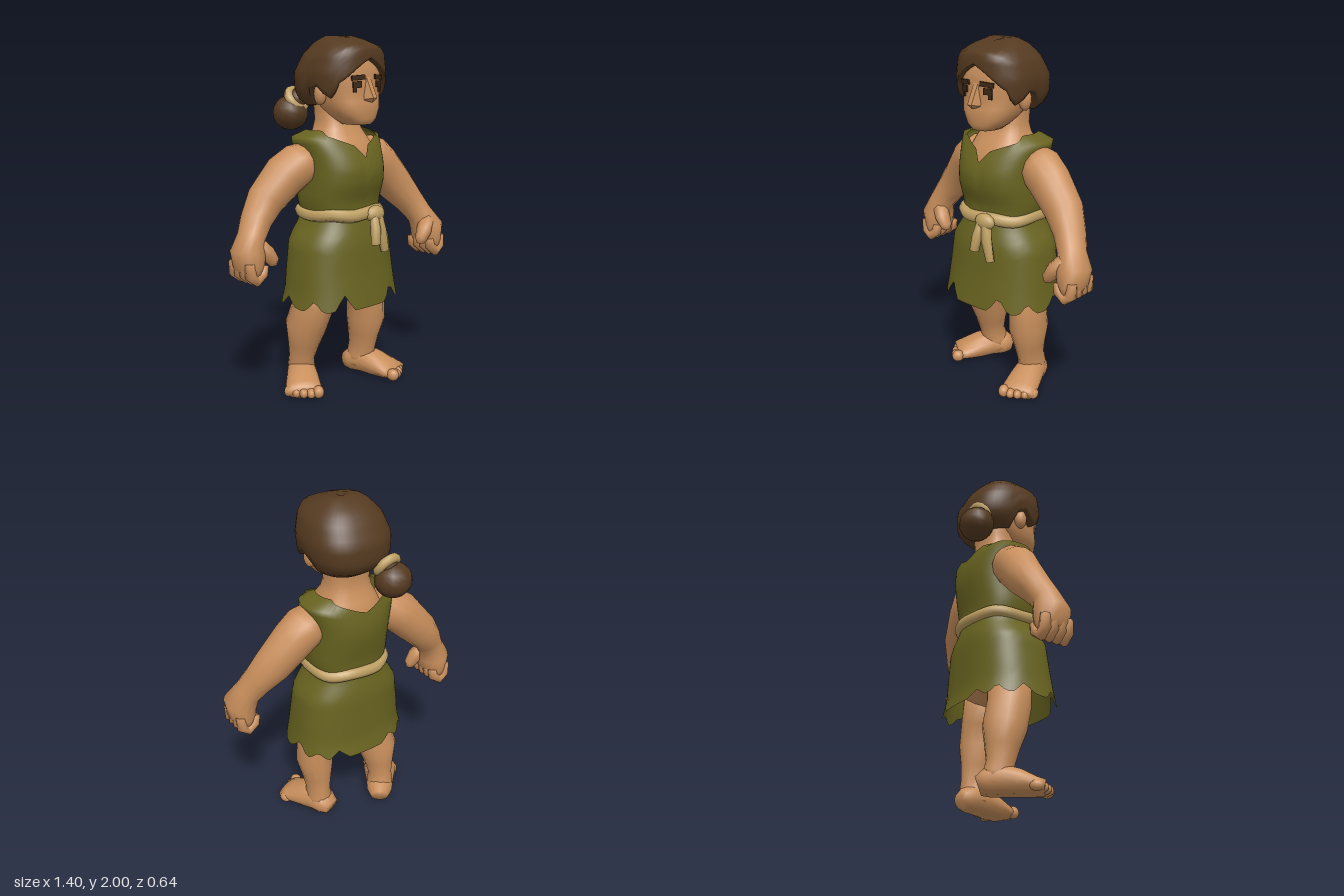
import * as THREE from 'three';
import { ConvexGeometry } from 'three/addons/geometries/ConvexGeometry.js';

const V = (x, y, z) => new THREE.Vector3(x, y, z);

// Smooth skin over a list of closed rings of points.
function loft(rings) {
  const n = rings[0].length, pos = [], idx = [];
  for (const ring of rings) for (const p of ring) pos.push(p.x, p.y, p.z);
  for (let i = 0; i < rings.length - 1; i++) {
    for (let j = 0; j < n; j++) {
      const a = i * n + j, b = i * n + (j + 1) % n;
      idx.push(a, a + n, b, b, a + n, b + n);
    }
  }
  const g = new THREE.BufferGeometry();
  g.setAttribute('position', new THREE.Float32BufferAttribute(pos, 3));
  g.setIndex(idx);
  g.computeVertexNormals();
  return g;
}

// Piecewise linear lookup in rows sorted by their first entry.
function lookup(rows, t) {
  const up = rows[0][0] < rows[rows.length - 1][0] ? rows : [...rows].reverse();
  if (t <= up[0][0]) return up[0];
  for (let i = 1; i < up.length; i++) {
    if (t <= up[i][0]) {
      const k = (t - up[i - 1][0]) / (up[i][0] - up[i - 1][0]);
      return up[i].map((v, c) => THREE.MathUtils.lerp(up[i - 1][c], v, k));
    }
  }
  return up[up.length - 1];
}

// Upright shell: rows are [y, half width, front z, back z]; top and bottom edges vary with the angle.
function shell(rows, cols, steps, top, bottom, { cap = false, lip = 0, base = false } = {}) {
  const at = (y, a, k = 1) => {
    const [, rx, zf, zb] = lookup(rows, y);
    const pw = v => Math.sign(v) * Math.abs(v) ** 0.8;
    return V(k * rx * pw(Math.sin(a)), y, (zf + zb) / 2 + k * (zf - zb) / 2 * pw(Math.cos(a)));
  };
  const angles = Array.from({ length: cols }, (_, j) => {
    const a = j / cols * Math.PI * 2;
    return a > Math.PI ? a - 2 * Math.PI : a;
  });
  const rings = [];
  if (cap) rings.push(angles.map(a => at(top(a), a, 0)));
  for (let i = 0; i <= steps; i++) {
    rings.push(angles.map(a => at(THREE.MathUtils.lerp(top(a), bottom(a), i / steps), a)));
  }
  if (lip) rings.push(angles.map(a => at(bottom(a), a, lip)));
  if (base) rings.push(angles.map(a => at(bottom(a), a, 0)));
  return loft(rings);
}

// Closed limb along points [x, y, z, radius, depth radius], flattened where it meets the ground.
function limb(pts, sides = 12) {
  const c = pts.map(p => V(p[0], p[1], p[2]));
  const rings = c.map((p, i) => {
    const t = c[Math.min(i + 1, c.length - 1)].clone().sub(c[Math.max(i - 1, 0)]).normalize();
    const u = t.clone().cross(Math.abs(t.z) > 0.8 ? V(0, 1, 0) : V(0, 0, 1)).normalize();
    const v = u.clone().cross(t);
    const ru = pts[i][3], rv = pts[i][4] ?? ru;
    return Array.from({ length: sides }, (_, j) => {
      const a = j / sides * Math.PI * 2;
      const q = p.clone().addScaledVector(u, ru * Math.cos(a)).addScaledVector(v, rv * Math.sin(a));
      q.y = Math.max(q.y, 0);
      return q;
    });
  });
  const end = i => rings[0].map(() => V(c[i].x, Math.max(c[i].y, 0), c[i].z));
  return loft([end(0), ...rings, end(c.length - 1)]);
}

export function createModel() {
  const root = new THREE.Group();
  const mat = (name, color, side = THREE.FrontSide) => {
    const m = new THREE.MeshStandardMaterial({ color, side });
    m.name = name;
    return m;
  };
  const skin = mat('skin', 0xc98f5c);
  const cloth = mat('green cloth', 0x686320, THREE.DoubleSide);
  const hair = mat('brown hair', 0x553a20, THREE.DoubleSide);
  const rope = mat('tan rope', 0xbfa063);
  const dark = mat('dark eyes', 0x3a2614);

  const add = (name, geo, m, parent = root) => {
    const mesh = new THREE.Mesh(geo, m);
    mesh.name = name;
    parent.add(mesh);
    return mesh;
  };
  const ball = (name, m, p, r, parent) => {
    const b = add(name, new THREE.SphereGeometry(1, 14, 10), m, parent);
    b.position.set(...p);
    b.scale.set(...r);
    return b;
  };

  // Head and neck
  add('head', shell([
    [1.95, 0.1, 0.13, -0.08], [1.9, 0.17, 0.2, -0.13], [1.82, 0.19, 0.228, -0.15], [1.75, 0.185, 0.232, -0.15],
    [1.67, 0.17, 0.23, -0.1], [1.62, 0.155, 0.242, -0.06], [1.575, 0.13, 0.236, 0], [1.55, 0.105, 0.238, 0.03],
    [1.525, 0.07, 0.225, 0.06],
  ], 32, 14, () => 1.95, () => 1.525, { cap: true, base: true }), skin);
  add('neckAndChest', shell([
    [1.64, 0.13, 0.07, -0.12], [1.53, 0.128, 0.09, -0.115], [1.48, 0.145, 0.11, -0.13],
    [1.42, 0.18, 0.16, -0.16], [1.36, 0.2, 0.19, -0.18], [1.25, 0.2, 0.19, -0.17],
  ], 24, 8, () => 1.64, () => 1.25), skin);
  add('nose', new ConvexGeometry([
    V(-0.015, 1.79, 0.225), V(0.015, 1.79, 0.225), V(-0.014, 1.67, 0.283), V(0.014, 1.67, 0.283),
    V(-0.038, 1.66, 0.22), V(0.038, 1.66, 0.22), V(0, 1.645, 0.262),
  ]), skin);
  for (const s of [-1, 1]) {
    ball('ear', skin, [s * 0.186, 1.69, 0.05], [0.033, 0.06, 0.038]);
    const plates = [
      ['eyebrow', 0.076, 1.778, 0.229, 0.08, 0.026, -0.08],
      ['eye', 0.082, 1.742, 0.227, 0.05, 0.034, 0],
      ['eyeShadow', 0.093, 1.715, 0.221, 0.02, 0.03, 0],
    ];
    for (const [name, x, y, z, w, h, tilt] of plates) {
      const p = add(name, new THREE.BoxGeometry(w, h, 0.009), dark);
      p.position.set(s * x, y, z);
      p.rotation.set(0, s * 0.33, s * tilt);
    }
  }

  // Hair with a centre parting, side locks and a tied bun
  const hairline = [[0, 1.88], [0.25, 1.84], [0.6, 1.775], [0.88, 1.74], [0.98, 1.67], [1.2, 1.67],
    [1.35, 1.74], [1.55, 1.73], [1.7, 1.63], [3.15, 1.605]];
  add('hair', shell([
    [2, 0.09, 0.04, -0.03], [1.98, 0.13, 0.13, -0.09], [1.94, 0.175, 0.24, -0.135], [1.9, 0.21, 0.25, -0.17],
    [1.8, 0.24, 0.25, -0.225], [1.7, 0.228, 0.25, -0.23], [1.65, 0.2, 0.24, -0.205], [1.6, 0.16, 0.22, -0.13],
  ], 40, 12, a => 2 - 0.012 * Math.max(0, 1 - Math.abs(a) / 0.5), a => lookup(hairline, Math.abs(a))[1],
  { cap: true, lip: 0.8 }), hair);
  ball('bun', hair, [-0.15, 1.575, -0.235], [0.105, 0.098, 0.1]);
  ball('bunRoot', hair, [-0.13, 1.65, -0.205], [0.06, 0.06, 0.06]);
  const band = add('hairTie', new THREE.TorusGeometry(0.058, 0.027, 8, 16), rope);
  band.position.set(-0.13, 1.652, -0.203);
  band.lookAt(-0.23, 1.2, -0.87);

  // Sleeveless tunic with a notched neckline
  const neckline = [[0, 1.345], [0.135, 1.412], [0.5, 1.452], [0.9, 1.48], [1.1, 1.49], [2.2, 1.49],
    [2.8, 1.46], [3.15, 1.41]];
  add('tunicTop', shell([
    [1.49, 0.18, 0.1, -0.14], [1.46, 0.28, 0.14, -0.19], [1.42, 0.268, 0.175, -0.205], [1.35, 0.25, 0.215, -0.22],
    [1.28, 0.24, 0.24, -0.222], [1.2, 0.24, 0.235, -0.21], [1.1, 0.238, 0.2, -0.19], [1, 0.215, 0.2, -0.185],
  ], 48, 14, a => lookup(neckline, Math.abs(a))[1], () => 1), cloth);

  // Skirt with a torn hem
  const tears = [[0.43, 0.09], [-0.5, 0.09], [1.05, 0.06], [-1.15, 0.06], [1.7, 0.07], [-1.75, 0.06],
    [2.2, 0.04], [-2.3, 0.05], [2.65, 0.05], [-2.75, 0.04]];
  const hem = a => 0.515 + Math.max(0, ...tears.map(([t, d]) => d * (1 - Math.abs(a - t) / 0.2)));
  add('skirt', shell([
    [1.04, 0.21, 0.19, -0.18], [0.98, 0.228, 0.205, -0.195], [0.93, 0.265, 0.222, -0.213], [0.87, 0.303, 0.235, -0.222],
    [0.7, 0.325, 0.25, -0.228], [0.6, 0.335, 0.265, -0.232], [0.51, 0.352, 0.28, -0.255],
  ], 64, 12, () => 1.04, hem), cloth);

  // Rope belt with a knot and two hanging ends
  const loop = Array.from({ length: 20 }, (_, i) => {
    const a = i / 20 * Math.PI * 2, pw = v => Math.sign(v) * Math.abs(v) ** 0.8;
    return V(0.215 * pw(Math.sin(a)), 1.03 + 0.006 * Math.sin(a * 5), 0.01 + 0.194 * pw(Math.cos(a)));
  });
  add('belt', new THREE.TubeGeometry(new THREE.CatmullRomCurve3(loop, true), 48, 0.036, 8, true), rope);
  ball('beltKnot', rope, [0.06, 1.025, 0.235], [0.065, 0.048, 0.038]);
  add('beltEnd', limb([[0.04, 1.03, 0.24, 0.024], [0.03, 0.95, 0.265, 0.029], [0.02, 0.86, 0.28, 0.027]], 8), rope);
  add('beltEnd', limb([[0.07, 1.03, 0.24, 0.028], [0.09, 0.92, 0.255, 0.038, 0.022],
    [0.118, 0.81, 0.257, 0.026, 0.02]], 8), rope);

  // Arms with closed fists
  const arm = (name, s, path, zc) => {
    const g = new THREE.Group();
    g.name = name;
    root.add(g);
    add('armAndPalm', limb([...path, [s * 0.61, 0.865, zc, 0.093, 0.104], [s * 0.607, 0.79, zc, 0.075, 0.102],
      [s * 0.61, 0.735, zc, 0.045, 0.085]], 14), skin, g);
    for (let k = 0; k < 4; k++) {
      const z = zc - 0.072 + k * 0.047;
      add('finger', limb([[s * 0.65, 0.82, z, 0.028], [s * 0.645, 0.75, z, 0.032],
        [s * 0.61, 0.722, z, 0.033], [s * 0.565, 0.755, z, 0.03], [s * 0.555, 0.8, z, 0.025]], 8), skin, g);
    }
    add('thumb', limb([[s * 0.575, 0.91, zc + 0.03, 0.05], [s * 0.52, 0.855, zc + 0.055, 0.046],
      [s * 0.488, 0.81, zc + 0.06, 0.036], [s * 0.485, 0.785, zc + 0.06, 0.022]], 8), skin, g);
  };
  arm('leftArm', 1, [[0.2, 1.37, 0, 0.09], [0.25, 1.325, 0, 0.122, 0.123], [0.33, 1.255, 0.01, 0.122, 0.118],
    [0.45, 1.125, 0.035, 0.11, 0.105], [0.525, 1.025, 0.08, 0.086, 0.09], [0.572, 0.945, 0.12, 0.076, 0.082]], 0.15);
  arm('rightArm', -1, [[-0.19, 1.35, -0.03, 0.09], [-0.25, 1.31, -0.05, 0.118, 0.123], [-0.33, 1.25, -0.08, 0.122, 0.123],
    [-0.45, 1.12, -0.108, 0.107, 0.105], [-0.53, 1.02, -0.092, 0.086, 0.09], [-0.58, 0.945, -0.07, 0.076, 0.082]], -0.065);

  // Hips, legs and bare feet
  ball('hips', skin, [0, 0.7, 0], [0.26, 0.14, 0.18]);
  const leg = (name, s, path, ankle, turn) => {
    const g = new THREE.Group();
    g.name = name;
    root.add(g);
    add('shin', limb(path, 14), skin, g);
    const foot = new THREE.Group();
    foot.name = 'foot';
    foot.position.set(...ankle);
    foot.rotation.y = turn;
    g.add(foot);
    add('sole', limb([[0, 0.05, -0.085, 0.055, 0.05], [0, 0.065, -0.04, 0.078, 0.075], [0, 0.075, 0.04, 0.085, 0.085],
      [0, 0.06, 0.12, 0.095, 0.075], [0, 0.04, 0.21, 0.104, 0.05], [0, 0.034, 0.255, 0.1, 0.038]], 16), skin, foot);
    for (let k = 0; k < 5; k++) {
      const r = k === 0 ? 0.036 : 0.029;
      ball('toe', skin, [s * (k * 0.041 - 0.077), r, 0.262 - k * k * 0.003], [r * 0.9, r, 0.038], foot);
    }
  };
  leg('leftLeg', 1, [[0.15, 0.66, 0.02, 0.12], [0.2, 0.5, 0.03, 0.1, 0.122], [0.205, 0.36, 0.025, 0.106, 0.125],
    [0.202, 0.25, 0.01, 0.082, 0.103], [0.203, 0.17, 0, 0.067, 0.092], [0.203, 0.11, -0.01, 0.078, 0.088],
    [0.2, 0.05, -0.02, 0.08, 0.08]], [0.2, 0, -0.025], 0.32);
  leg('rightLeg', -1, [[-0.14, 0.66, -0.01, 0.12], [-0.168, 0.5, -0.03, 0.113, 0.125], [-0.19, 0.36, -0.075, 0.118, 0.122],
    [-0.193, 0.25, -0.093, 0.088, 0.095], [-0.196, 0.17, -0.105, 0.072, 0.078], [-0.19, 0.11, -0.115, 0.078, 0.082],
    [-0.18, 0.05, -0.13, 0.08, 0.08]], [-0.18, 0, -0.13], -0.65);

  return root;
}
